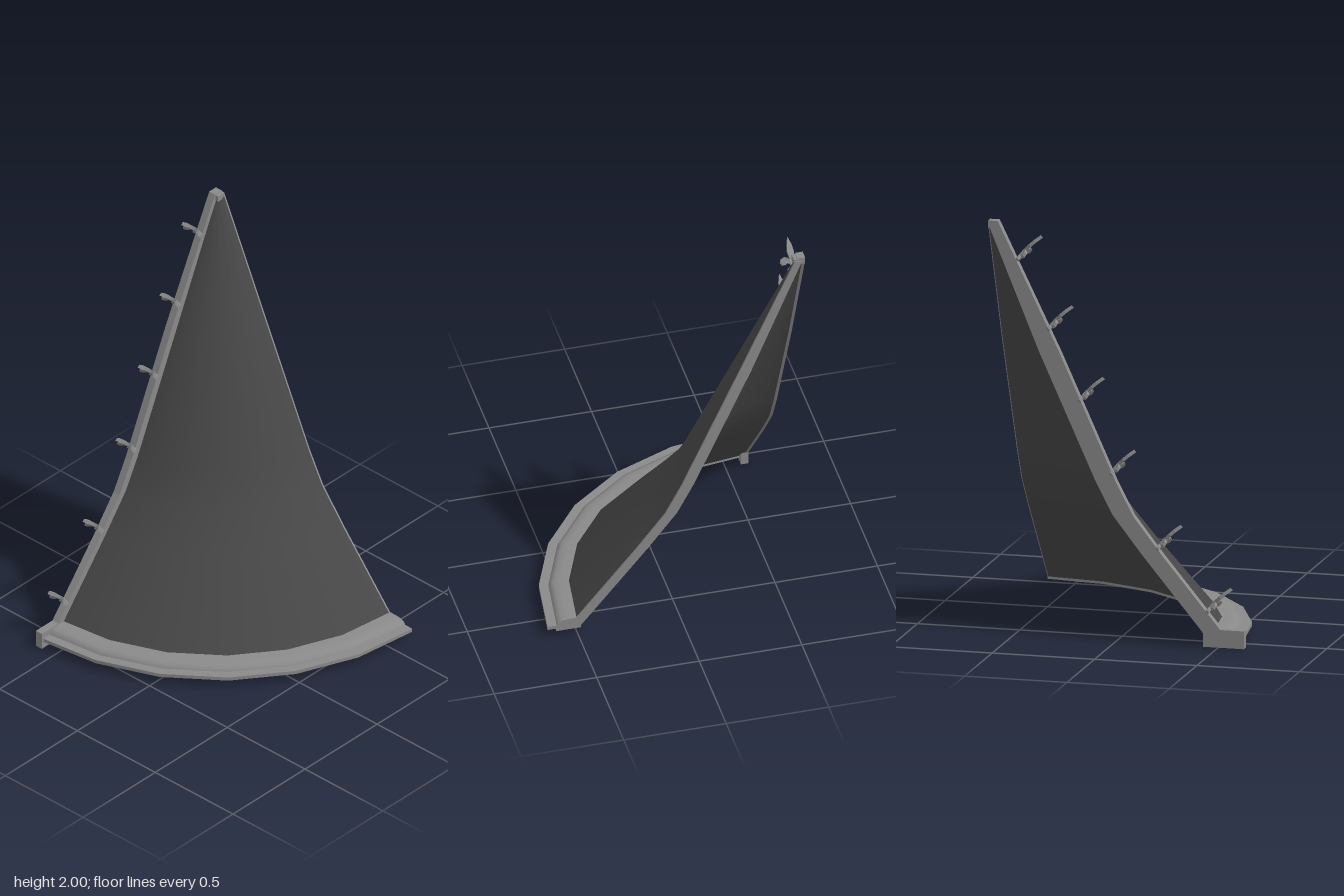
import * as THREE from 'three';
import { toCreasedNormals } from 'three/addons/utils/BufferGeometryUtils.js';

const V = (p) => p.map(([r, y]) => new THREE.Vector2(r, y));

export function createModel() {
  const slate = new THREE.MeshStandardMaterial({ color: 0x474747 });
  slate.name = 'dark slate';
  const stone = new THREE.MeshStandardMaterial({ color: 0x8a8a8a });
  stone.name = 'grey trim';

  const model = new THREE.Group();
  model.name = 'quarterConeRoof';
  // Everything is built around the cone axis, at the back right corner
  const roof = new THREE.Group();
  roof.name = 'roofAssembly';
  roof.position.set(-0.6, 0, -0.625);
  model.add(roof);

  const add = (name, geometry, material, parent = roof) => {
    const mesh = new THREE.Mesh(geometry, material);
    mesh.name = name;
    parent.add(mesh);
    return mesh;
  };
  const quarterTurn = (points) => new THREE.LatheGeometry(V(points), 6, 0, Math.PI / 2);
  const slab = (points, depth) =>
    new THREE.ExtrudeGeometry(new THREE.Shape(V(points)), { depth, bevelEnabled: false });

  // Flared roof profile as [radius, height], from eave to apex
  const outer = [[1.1, 0.08], [0.81, 0.43], [0.67, 0.61], [0.587, 0.767], [0.31, 1.38], [0.037, 1.985]];
  const shift = (d) => outer.map(([r, y]) => [Math.max(r + d, 0.001), y]);
  const inner = [[1.09, 0.02], ...shift(-0.06)];

  // Roof skin, outside and inside
  add('roofOutside', quarterTurn(outer), slate);
  add('roofInside', quarterTurn([...inner].reverse()), slate);

  // Moulded eave
  const eave = [[1.08, 0.02], [1.2, 0.02], [1.2, 0.035], [1.242, 0.035], [1.242, 0.053],
    [1.197, 0.053], [1.19, 0.066], [1.172, 0.076], [1.14, 0.08], [1.08, 0.08]];
  add('eaveMoulding', toCreasedNormals(quarterTurn([...eave, eave[0]]), Math.PI / 5), stone);

  // Cut end on the back: edge of the skin and of the eave
  add('backRim', slab([...outer, ...[...inner].reverse()], 0.008), stone).position.z = -0.004;
  add('backEaveEnd', slab(eave, 0.008), stone).position.z = -0.004;

  // Ridge beam along the right-hand cut, with its foot block
  const ridgeProfile = [[1.14, 0.06], ...shift(0.04).slice(0, -1), [0.048, 2], [0.001, 2],
    ...shift(-0.06).reverse(), [1.06, 0.05]];
  const ridge = slab(ridgeProfile, 0.038);
  ridge.rotateY(-Math.PI / 2);
  add('ridgeBeam', ridge, stone).position.x = 0.023;
  add('ridgeFoot', new THREE.BoxGeometry(0.038, 0.086, 0.2), stone).position.set(0.004, 0.043, 1.15);
  add('apexCap', new THREE.BoxGeometry(0.055, 0.03, 0.045), stone).position.set(0.013, 1.981, 0.0225);

  // Leaf ornament: one half outline as [x, length], mirrored
  const half = [[0.007, -0.015], [0.007, 0.016], [0.02, 0.008], [0.028, 0.02], [0.02, 0.03],
    [0.01, 0.034], [0.01, 0.046], [0.024, 0.052], [0.034, 0.044], [0.048, 0.046], [0.055, 0.06],
    [0.05, 0.076], [0.036, 0.083], [0.022, 0.078], [0.009, 0.066], [0.016, 0.105], [0.012, 0.135]];
  const outline = [...half, [0, 0.175], ...half.map(([x, s]) => [-x, s]).reverse()];
  const leaf = slab(outline, 0.016);
  // Arch the leaf along its length and droop its side lobes
  const p = leaf.attributes.position;
  for (let i = 0; i < p.count; i++) {
    const x = p.getX(i), s = p.getY(i);
    p.setZ(i, p.getZ(i) - 0.008 + x * x * 6 - 0.01 * Math.sin((Math.PI * s) / 0.175));
  }
  leaf.rotateX(Math.PI / 4);
  leaf.computeVertexNormals();

  // Six ornaments up the ridge, as [height, distance from the axis]
  const crockets = new THREE.Group();
  crockets.name = 'crockets';
  roof.add(crockets);
  const seats = [[0.16, 1.062], [0.45, 0.818], [0.8, 0.591], [1.143, 0.437], [1.48, 0.285], [1.81, 0.135]];
  for (const [y, z] of seats) add('crocket', leaf, stone, crockets).position.set(0.005, y, z);

  return model;
}
